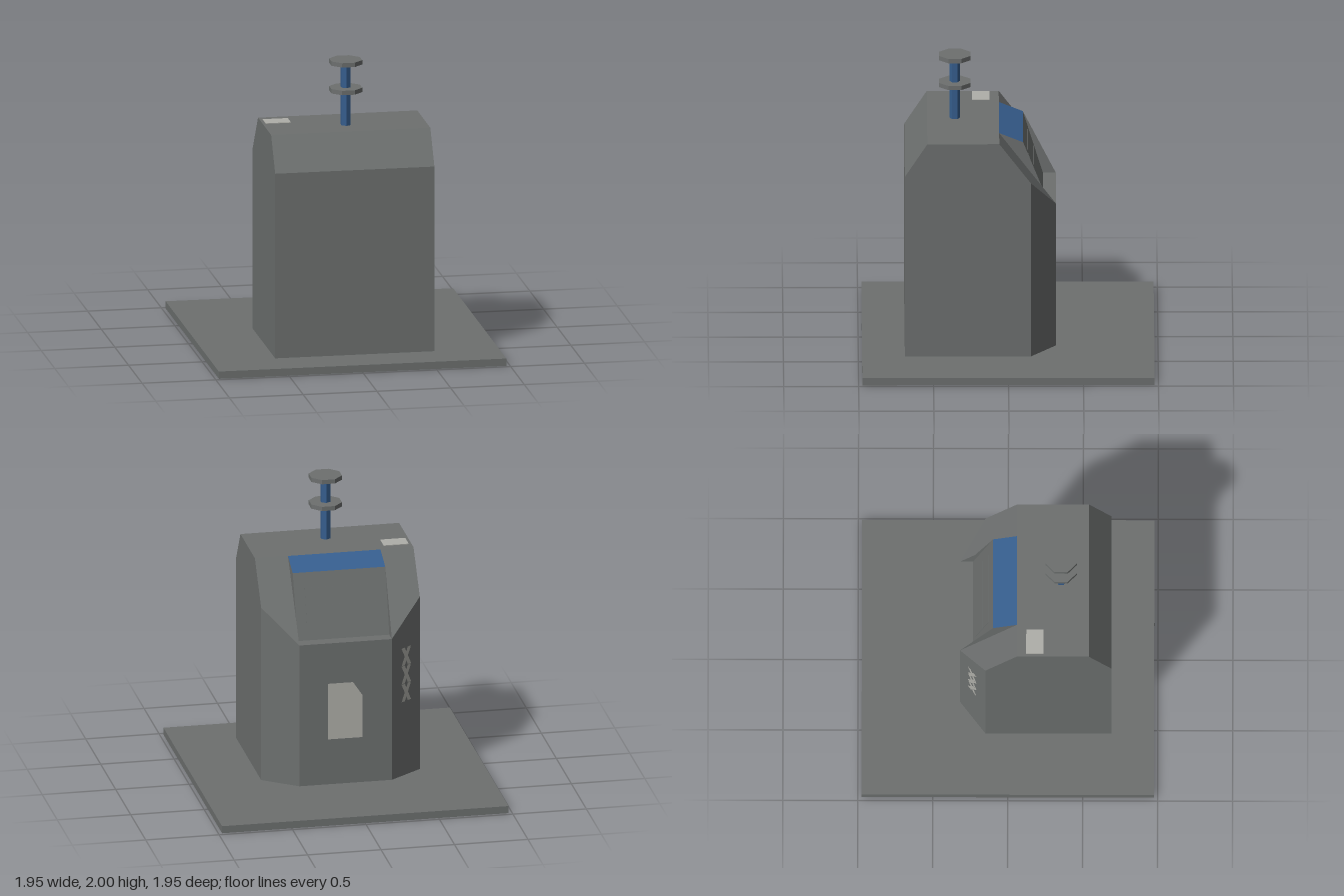
import * as THREE from 'three';

const flat = (name, color) => {
  const m = new THREE.MeshStandardMaterial({ color, side: THREE.DoubleSide, flatShading: true });
  m.name = name;
  return m;
};

export function createModel() {
  const grey = flat('container grey', 0x6d706f);
  const blue = flat('lid blue', 0x365e8e);
  const light = flat('label light grey', 0xafafa9);

  const root = new THREE.Group();
  root.name = 'wasteContainer';

  const add = (name, geometry, material, x = 0, y = 0, z = 0) => {
    const mesh = new THREE.Mesh(geometry, material);
    mesh.name = name;
    mesh.position.set(x, y, z);
    root.add(mesh);
    return mesh;
  };

  // Flat convex face from its corners, counter-clockwise seen from outside
  const face = (name, corners, material = grey) => {
    const pos = [];
    for (let i = 1; i < corners.length - 1; i++) pos.push(...corners[0], ...corners[i], ...corners[i + 1]);
    const g = new THREE.BufferGeometry();
    g.setAttribute('position', new THREE.Float32BufferAttribute(pos, 3));
    g.computeVertexNormals();
    return add(name, g, material);
  };

  // Face spanning -w..w between two [y, z] lines
  const strip = (name, w, [y0, z0], [y1, z1], material) =>
    face(name, [[-w, y0, z0], [w, y0, z0], [w, y1, z1], [-w, y1, z1]], material);

  const W = 0.54, N = 0.315, B = 0.05;   // half width, half width of the back, base height
  const ledge = 1.05, shoulder = 1.274;  // heights where the rear slope meets the walls

  // Ground plate: shallow tray, open underneath
  const tray = new THREE.BoxGeometry(1.95, B, 1.95);
  const index = Array.from(tray.index.array);
  index.splice(18, 6);
  tray.setIndex(index);
  add('groundPlate', tray, grey, 0, B / 2, 0);

  // Front, top and back of the body
  strip('frontWall', W, [B, 0.69], [1.32, 0.69]);
  strip('frontSlope', W, [1.32, 0.69], [1.55, 0.54]);
  strip('topDeck', W, [1.55, 0.54], [1.55, 0.06]);
  strip('backWall', N, [ledge, -0.32], [B, -0.32]);

  // Throw-in hood with its recessed flap
  strip('hoodLid', N, [1.55, 0.06], [1.485, -0.1], blue);
  strip('hoodFlap', N, [1.485, -0.1], [ledge, -0.234]);
  strip('hoodLedge', N, [ledge, -0.234], [ledge, -0.32]);

  // Two slim plates on the flap
  const lean = Math.atan2(0.134, 0.435);
  for (const [z, height] of [[-0.148, 0.115], [-0.19, 0.16]]) {
    const y = 1.485 + (z + 0.1) * 0.435 / 0.134;
    add('flapPlate', new THREE.BoxGeometry(0.48, height, 0.006), grey, 0, y, z).rotation.x = lean;
  }

  // Mirrored side walls, rear corners, rear slopes and hood cheeks
  for (const s of [1, -1]) {
    const side = (name, pts) => {
      const p = pts.map(([x, y, z]) => [s * x, y, z]);
      face(name, s > 0 ? p : p.reverse());
    };
    side('sideWall', [[W, B, 0.69], [W, B, -0.15], [W, shoulder, -0.15], [W, 1.55, 0.06], [W, 1.55, 0.54], [W, 1.32, 0.69]]);
    side('rearCorner', [[W, B, -0.15], [N, B, -0.32], [N, ledge, -0.32], [W, shoulder, -0.15]]);
    side('rearSlope', [[W, 1.55, 0.06], [W, shoulder, -0.15], [N, ledge, -0.32], [N, 1.55, 0.06]]);
    side('hoodCheek', [[N, 1.55, 0.06], [N, ledge, -0.234], [N, ledge, -0.32], [N, 1.17, -0.225], [N, 1.485, -0.1]]);
  }

  // Lifting post: hexagonal rod with two octagonal discs
  const postZ = 0.355;
  add('liftingPost', new THREE.CylinderGeometry(0.035, 0.035, 0.42, 6), blue, 0, 1.76, postZ);
  for (const y of [1.795, 1.985])
    add('liftingDisc', new THREE.CylinderGeometry(0.113, 0.113, 0.03, 8, 1, false, Math.PI / 8), grey, 0, y, postZ);

  // Label on the top deck and notice on the back wall
  add('topLabel', new THREE.BoxGeometry(0.17, 0.004, 0.115), light, -0.435, 1.552, 0.18);
  face('backNotice', [[-0.115, 0.37, -0.324], [0.12, 0.37, -0.324], [0.12, 0.765, -0.324],
    [-0.05, 0.765, -0.324], [-0.115, 0.667, -0.324]].reverse(), light);

  // Column of crossed bars on one rear corner
  const crosses = new THREE.Group();
  crosses.name = 'cornerCrosses';
  crosses.position.set(-0.4275 - 0.0025, 0.765, -0.235 - 0.0033);
  crosses.rotation.y = Math.atan2(-0.17, -0.225);
  const w = 0.048, h = 0.0625, t = 0.033;
  for (const row of [-1, 0, 1]) for (const s of [1, -1]) {
    const bar = new THREE.Shape([[-w, -h], [-w + t, -h], [w, h], [w - t, h]]
      .map(([x, y]) => new THREE.Vector2(s * x, y)));
    const mesh = new THREE.Mesh(new THREE.ShapeGeometry(bar), light);
    mesh.name = 'crossBar';
    mesh.position.y = row * 0.128;
    crosses.add(mesh);
  }
  root.add(crosses);

  return root;
}
